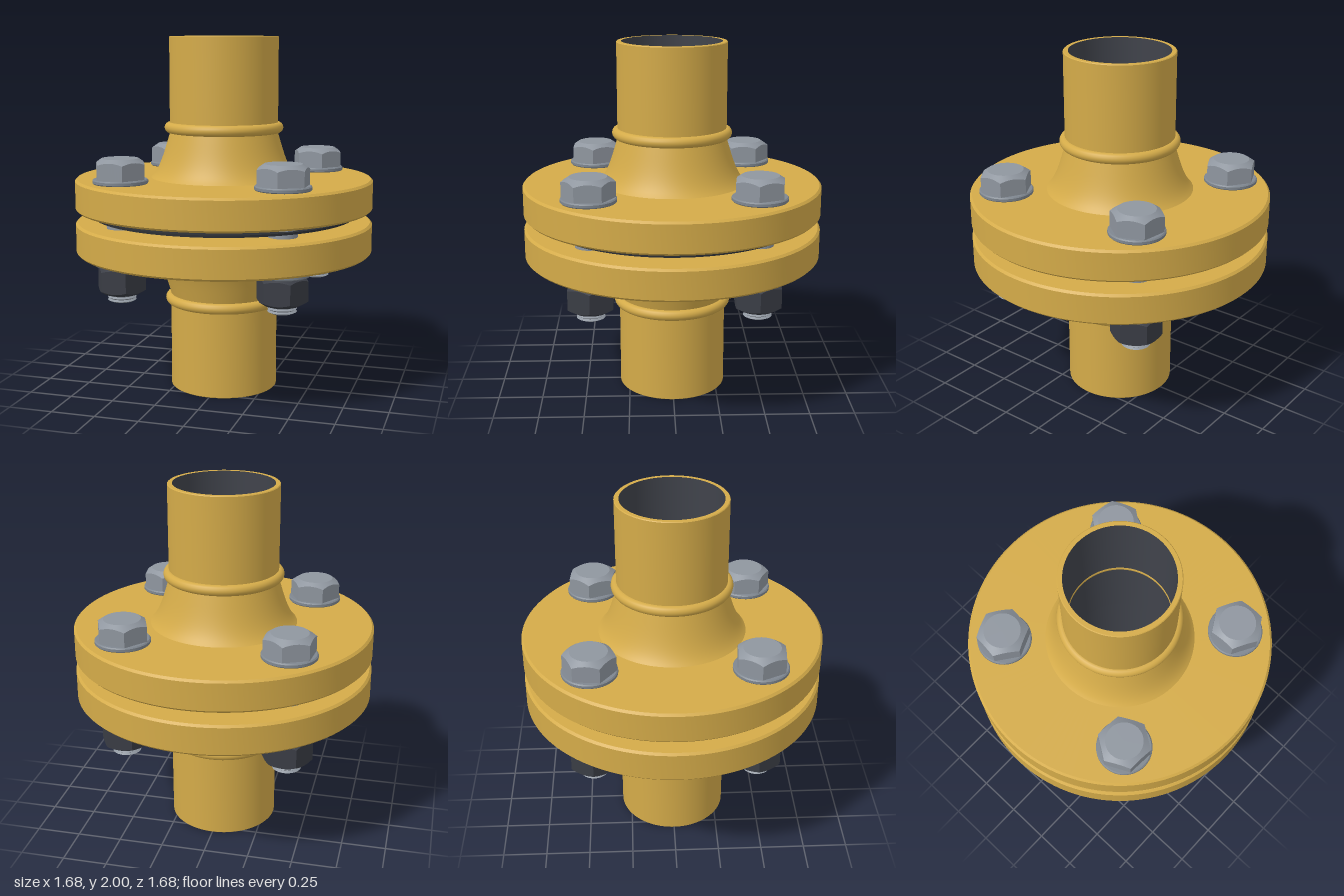
import * as THREE from 'three';
import { toCreasedNormals } from 'three/addons/utils/BufferGeometryUtils.js';

const mat = (name, color) => {
  const m = new THREE.MeshStandardMaterial({ color });
  m.name = name;
  return m;
};

const MID = 1.005; // height of the joint plane
const BORE = 0.278;

// Surface of revolution from [radius, y] pairs, listed bottom to top on the outside
function lathe(points, segments = 96, crease = 0.45) {
  const g = new THREE.LatheGeometry(points.map(([r, y]) => new THREE.Vector2(r, y)), segments);
  return toCreasedNormals(g, crease);
}

// Hexagonal prism whose corners are trimmed by a shallow cone at one or both ends
function hexGeometry(apothem, y0, y1, topDrop, trimBottom) {
  const SEG = 48;
  const R = apothem / Math.cos(Math.PI / 6);
  const inner = apothem * 0.8;
  const rings = [[0, y0], [inner, y0], [R, y0], [R, y1], [inner, y1], [0, y1]];
  const g = new THREE.LatheGeometry(rings.map(([r, y]) => new THREE.Vector2(r, y)), SEG);
  const p = g.attributes.position;
  for (let i = 0; i < p.count; i++) {
    const ring = i % rings.length;
    if (ring !== 2 && ring !== 3) continue;
    const phi = Math.floor(i / rings.length) * Math.PI * 2 / SEG;
    const local = (phi % (Math.PI / 3)) - Math.PI / 6;
    const r = apothem / Math.cos(local);
    const drop = topDrop * (r - inner) / (R - inner);
    const y = ring === 3 ? y1 - drop : y0 + (trimBottom ? drop : 0);
    p.setXYZ(i, Math.sin(phi) * r, y, Math.cos(phi) * r);
  }
  return toCreasedNormals(g, 0.5);
}

export function createModel() {
  const yellow = mat('yellow paint', 0xd4ab49);
  const steel = mat('bolt steel', 0x8f969f);
  const washerSteel = mat('washer steel', 0x7f8790);
  const dark = mat('dark nut steel', 0x3a3d45);
  const boreDark = mat('dark bore', 0x40434b);
  const gasketMat = mat('gasket rubber', 0x2b2e33);

  const model = new THREE.Group();
  model.name = 'flangedPipeJoint';
  const add = (parent, name, geometry, material) => {
    const mesh = new THREE.Mesh(geometry, material);
    mesh.name = name;
    parent.add(mesh);
    return mesh;
  };

  // Two facing halves: raised face, flange, flared neck, weld bead and pipe
  for (const [name, end, flip] of [['upperHalf', 2 - MID, 0], ['lowerHalf', MID, Math.PI]]) {
    const half = new THREE.Group();
    half.name = name;
    half.position.y = MID;
    half.rotation.x = flip;
    model.add(half);

    add(half, 'flange', lathe([
      [BORE, 0.006], [0.48, 0.006], [0.48, 0.034], [0.828, 0.034], [0.84, 0.046],
      [0.84, 0.198], [0.828, 0.21], [0.4, 0.21],
    ], 128), yellow);

    const flare = new THREE.CubicBezierCurve(
      new THREE.Vector2(0.412, 0.21), new THREE.Vector2(0.36, 0.26),
      new THREE.Vector2(0.335, 0.36), new THREE.Vector2(0.305, 0.46));
    add(half, 'neck', lathe(flare.getPoints(14).map((v) => [v.x, v.y])), yellow);

    add(half, 'pipe', lathe([
      [0.305, 0.44], [0.305, end - 0.004], [0.301, end], [BORE, end],
    ]), yellow);

    const bead = new THREE.TorusGeometry(0.305, 0.03, 16, 96);
    bead.rotateX(Math.PI / 2);
    add(half, 'weldBead', bead, yellow).position.y = 0.49;

    add(half, 'bore', lathe([[BORE, end], [BORE, 0]]), boreDark);
  }

  // Thin gasket between the raised faces
  add(model, 'gasket', lathe([
    [BORE, -0.006], [0.74, -0.006], [0.74, 0.006], [BORE, 0.006],
  ]), gasketMat).position.y = MID;

  // Shared fastener geometry
  const headGeo = hexGeometry(0.125, 1.238, 1.352, 0.03, false);
  const nutGeo = hexGeometry(0.121, 0.61, 0.768, 0.026, true);
  const washerGeo = lathe([
    [0, 0], [0.144, 0], [0.15, 0.006], [0.15, 0.02], [0.144, 0.026], [0, 0.026],
  ], 48);
  const thread = [[0, 0.565], [0.058, 0.565]];
  for (let i = 0; i < 4; i++) {
    const y = 0.575 + i * 0.016;
    thread.push([0.078, y], [0.066, y + 0.008]);
  }
  thread.push([0.078, 0.645], [0.078, 1.25]);
  const shankGeo = lathe(thread, 40);

  // Four bolts on the bolt circle, each head turned a little differently
  const bolts = [[-1, 1, 26], [1, 1, 1], [1, -1, 22], [-1, -1, -6]];
  for (const [sx, sz, turn] of bolts) {
    const bolt = new THREE.Group();
    bolt.name = 'boltAssembly';
    bolt.position.set(sx * 0.45, 0, sz * 0.45);
    model.add(bolt);
    add(bolt, 'boltHead', headGeo, steel).rotation.y = THREE.MathUtils.degToRad(turn);
    add(bolt, 'threadedShank', shankGeo, steel);
    add(bolt, 'upperWasher', washerGeo, washerSteel).position.y = 1.214;
    add(bolt, 'lowerWasher', washerGeo, washerSteel).position.y = 0.767;
    add(bolt, 'nut', nutGeo, dark).rotation.y = Math.PI / 6;
  }
  return model;
}
